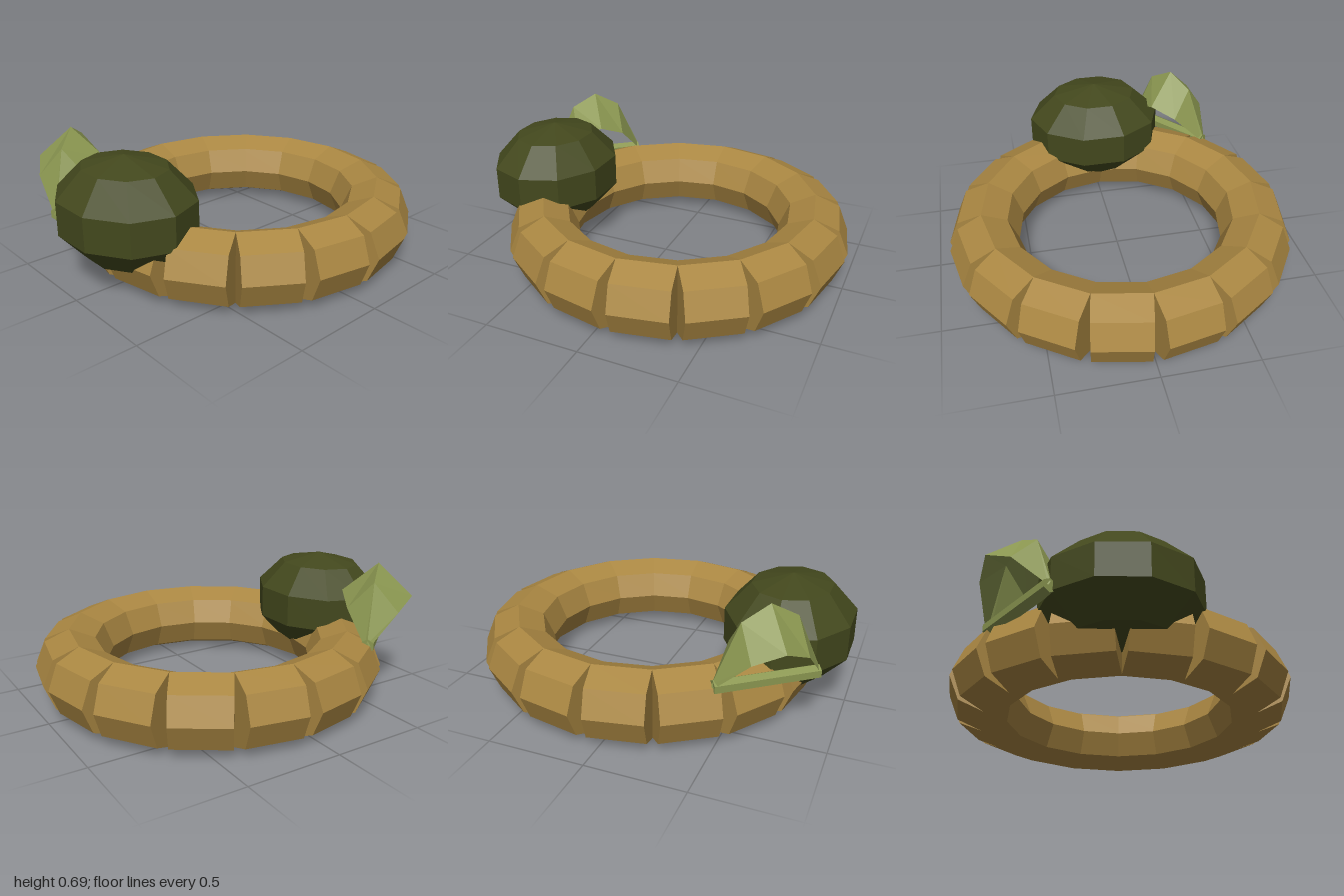
import * as THREE from 'three';

const mat = (color, side = THREE.FrontSide) =>
  new THREE.MeshStandardMaterial({ color, flatShading: true, side });

function add(parent, name, geometry, material) {
  const mesh = new THREE.Mesh(geometry, material);
  mesh.name = name;
  parent.add(mesh);
  return mesh;
}

// Arched leaf along local z: each row is left edge, raised ridge, right edge
function leafGeometry() {
  const rows = [ // [z, half width, edge height, ridge height]
    [-0.27, 0.012, 0.31, 0.33],
    [-0.14, 0.132, 0.47, 0.62],
    [0, 0.185, 0.53, 0.695],
    [0.14, 0.132, 0.47, 0.62],
    [0.27, 0.012, 0.31, 0.33],
  ];
  const positions = [], index = [];
  rows.forEach(([z, w, edge, ridge]) => positions.push(-w, edge, z, 0, ridge, z, w, edge, z));
  for (let r = 0; r < rows.length - 1; r++) {
    for (let c = 0; c < 2; c++) {
      const a = r * 3 + c, b = a + 3;
      index.push(a, b, a + 1, b, b + 1, a + 1);
    }
  }
  const g = new THREE.BufferGeometry();
  g.setAttribute('position', new THREE.Float32BufferAttribute(positions, 3));
  g.setIndex(index);
  g.computeVertexNormals();
  return g;
}

export function createModel() {
  const model = new THREE.Group();
  model.name = 'wreath';

  // Ring of straight octagonal logs that meet at the tube's centre line
  const ring = new THREE.Group();
  ring.name = 'ring';
  ring.position.set(0, 0.185, -0.077);
  model.add(ring);
  const count = 16, radius = 0.728, tube = 0.185;
  const log = new THREE.CylinderGeometry(tube, tube, 2 * radius * Math.tan(Math.PI / count), 8);
  log.rotateZ(Math.PI / 2);
  log.translate(0, 0, radius);
  const wood = mat(0xaa8742);
  for (let i = 0; i < count; i++) {
    add(ring, 'ringSegment', log, wood).rotation.y = ((i + 0.5) / count) * Math.PI * 2;
  }

  // Squashed faceted ball resting on the front of the ring
  const ball = add(model, 'ball', new THREE.SphereGeometry(1, 10, 5), mat(0x43481d));
  ball.scale.set(0.41, 0.282, 0.348);
  ball.position.set(0, 0.385, 0.685);

  // Leaf arching over a thin stem, beside the ball
  const leaf = new THREE.Group();
  leaf.name = 'leaf';
  leaf.position.set(-0.478, 0, 0.69);
  leaf.rotation.y = Math.atan2(0.62, 0.78);
  model.add(leaf);
  const green = mat(0x8a9650, THREE.DoubleSide);
  add(leaf, 'leafBlade', leafGeometry(), green);
  const stem = new THREE.CylinderGeometry(0.036, 0.036, 0.53, 6);
  stem.rotateX(Math.PI / 2);
  add(leaf, 'leafStem', stem, green).position.y = 0.315;

  return model;
}
